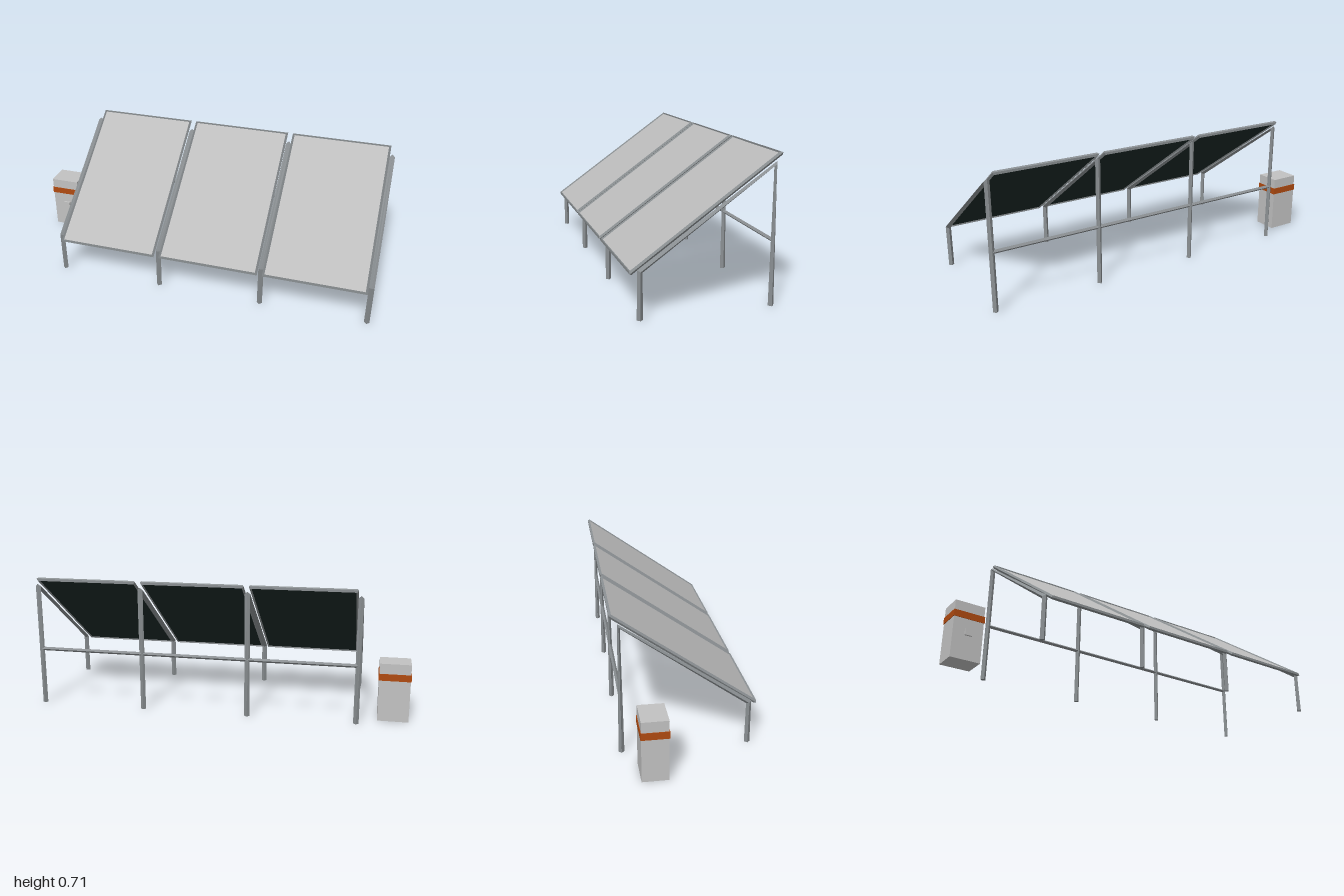
import * as THREE from 'three';

const mat = (name, color, extra = {}) => Object.assign(new THREE.MeshStandardMaterial({ color, ...extra }), { name });

// Four-sided bar swept along a flat path; n is the normal of the path's plane
function bar(points, n, r, closed = false) {
  const count = points.length;
  const at = (i) => points[closed ? (i + count) % count : Math.min(Math.max(i, 0), count - 1)];
  const rings = points.map((p, i) => {
    const into = p.clone().sub(at(i - 1)).normalize();
    const out = at(i + 1).clone().sub(p).normalize();
    const b = into.add(out).normalize().cross(n);
    return [n, b, n.clone().negate(), b.clone().negate()].map((d) => p.clone().addScaledVector(d, r));
  });
  const tris = [];
  for (let i = 0; i < (closed ? count : count - 1); i++) {
    const a = rings[i], c = rings[(i + 1) % count];
    for (let k = 0; k < 4; k++) {
      const m = (k + 1) % 4;
      tris.push(a[k], a[m], c[m], a[k], c[m], c[k]);
    }
  }
  if (!closed) {
    const s = rings[0], e = rings[count - 1];
    tris.push(s[0], s[2], s[1], s[0], s[3], s[2], e[0], e[1], e[2], e[0], e[2], e[3]);
  }
  const g = new THREE.BufferGeometry().setFromPoints(tris);
  g.computeVertexNormals();
  return g;
}

export function createModel() {
  const model = new THREE.Group();
  model.name = 'solarArray';
  const metal = mat('steel', 0x8a8f92, { flatShading: true });
  const glass = mat('panelGlass', 0xbcbcbc);
  const backing = mat('panelBacking', 0x1d2a28);
  const casing = mat('cabinetGrey', 0xc2c2c2);
  const orange = mat('orange', 0xb04a10);
  const V = (x, y, z) => new THREE.Vector3(x, y, z);
  const add = (parent, name, geo, material, x = 0, y = 0, z = 0) => {
    const m = new THREE.Mesh(geo, material);
    m.name = name;
    m.position.set(x, y, z);
    parent.add(m);
    return m;
  };

  // Bent support frames: front leg, sloping rail and rear leg in one bar
  const step = 0.572, firstX = -0.73, legZ = 0.312;
  const support = bar(
    [V(0, 0, legZ), V(0, 0.222, legZ), V(0, 0.659, -legZ), V(0, 0, -legZ)], V(1, 0, 0), 0.0142);
  for (let i = 0; i < 4; i++) add(model, 'supportFrame', support, metal, firstX + i * step);

  // Rear cross brace
  add(model, 'rearBrace',
    bar([V(firstX, 0.31, -legZ), V(firstX + 3 * step, 0.31, -legZ)], V(0, 1, 0), 0.01), metal);

  // Tilted panels with a bar rim
  const hw = 0.2655, hd = 0.426;
  const rim = bar([V(-hw, 0, hd), V(hw, 0, hd), V(hw, 0, -hd), V(-hw, 0, -hd)], V(0, 1, 0), 0.01, true);
  const sheet = new THREE.BoxGeometry(hw * 2, 0.006, hd * 2);
  for (let i = 0; i < 3; i++) {
    const panel = new THREE.Group();
    panel.name = 'panel';
    panel.position.set(firstX + (i + 0.5) * step, 0.457, 0);
    panel.rotation.x = THREE.MathUtils.degToRad(35.2);
    add(panel, 'panelSheet', sheet, [backing, backing, glass, backing, backing, backing]);
    add(panel, 'panelRim', rim, metal);
    model.add(panel);
  }

  // Control cabinet with band and latch
  const cabinet = new THREE.Group();
  cabinet.name = 'controlCabinet';
  cabinet.position.set(-0.917, 0, -0.183);
  add(cabinet, 'cabinetBody', new THREE.BoxGeometry(0.16, 0.31, 0.128), casing, 0, 0.155, 0);
  add(cabinet, 'cabinetBand', new THREE.BoxGeometry(0.166, 0.036, 0.134), orange, 0, 0.238, 0);
  add(cabinet, 'cabinetLatch', new THREE.BoxGeometry(0.038, 0.034, 0.012), casing, 0.002, 0.147, 0.068);
  model.add(cabinet);

  return model;
}
